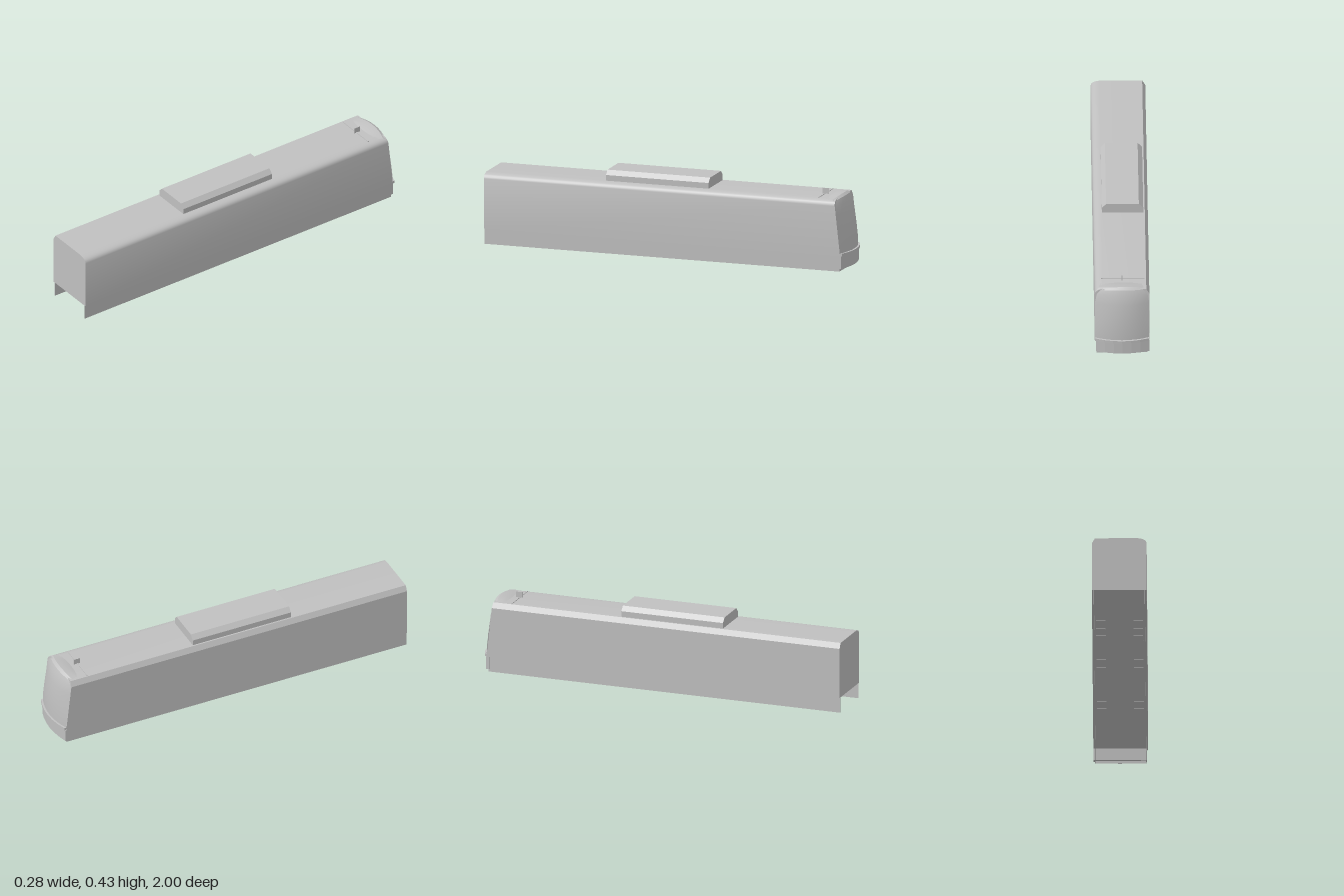
import * as THREE from 'three';
import { toCreasedNormals } from 'three/addons/utils/BufferGeometryUtils.js';

const grey = new THREE.MeshStandardMaterial({ color: 0xc0c0c0, side: THREE.DoubleSide });
grey.name = 'light grey';

export function createModel() {
  const model = new THREE.Group();
  model.name = 'railCar';

  function add(name, geometry, x = 0, y = 0, z = 0) {
    const mesh = new THREE.Mesh(geometry, grey);
    mesh.name = name;
    mesh.position.set(x, y, z);
    model.add(mesh);
    return mesh;
  }
  const box = (name, w, h, d, x, y, z) => add(name, new THREE.BoxGeometry(w, h, d), x, y, z);
  const outline = (pts) => new THREE.Shape(pts.map(([x, y]) => new THREE.Vector2(x, y)));
  const extrude = (shape, depth) =>
    new THREE.ExtrudeGeometry(shape, { depth, bevelEnabled: false, curveSegments: 6 });

  // Body: flat chamfer on the right roof edge, rounded edge on the other, raked cab end
  const section = outline([[-0.142, 0.082], [0.142, 0.082], [0.142, 0.348]]);
  section.bezierCurveTo(0.14, 0.368, 0.122, 0.376, 0.098, 0.378);
  section.lineTo(-0.126, 0.378);
  section.lineTo(-0.142, 0.35);
  const body = extrude(section, 2);
  const p = body.attributes.position;
  for (let i = 0; i < p.count; i++) {
    p.setZ(i, p.getZ(i) > 1 ? 1 : -0.962 + (p.getY(i) - 0.082) * 0.11);
  }
  body.computeVertexNormals();
  add('body', toCreasedNormals(body, 0.5));

  // Skirts: thin sheets hanging below the floor, with a cross sheet at the cab
  for (const s of [-1, 1]) {
    box(s > 0 ? 'leftSkirt' : 'rightSkirt', 0.002, 0.082, 1.955, s * 0.132, 0.041, 0.0225);
  }
  box('skirtEnd', 0.264, 0.082, 0.002, 0, 0.041, -0.954);

  // Cab shell: bowed cross rows from the sill over the crown to the roof
  // Each row: y, centre z, bow, half width, side drop
  const rows = [
    [0.085, -0.99, 0.028, 0.14, 0],
    [0.13, -0.989, 0.029, 0.141, 0],
    [0.2, -0.984, 0.032, 0.141, 0],
    [0.3, -0.971, 0.033, 0.141, 0],
    [0.355, -0.957, 0.027, 0.138, 0.005],
    [0.38, -0.946, 0.022, 0.13, 0.01],
    [0.39, -0.93, 0.018, 0.122, 0.014],
    [0.387, -0.9, 0.01, 0.116, 0.011],
    [0.377, -0.865, -0.01, 0.112, 0],
  ];
  const segments = 8;
  const verts = [];
  const faces = [];
  rows.forEach(([y, z, bow, half, drop], r) => {
    for (let c = 0; c <= segments; c++) {
      const u = (c / segments) * 2 - 1;
      verts.push(half * u, y - drop * u * u, z + bow * u * u);
      if (r && c) {
        const b = r * (segments + 1) + c;
        const a = b - segments - 1;
        faces.push(a - 1, b - 1, a, a, b - 1, b);
      }
    }
  });
  const shell = new THREE.BufferGeometry();
  shell.setAttribute('position', new THREE.Float32BufferAttribute(verts, 3));
  shell.setIndex(faces);
  shell.computeVertexNormals();
  add('cabShell', toCreasedNormals(shell, 0.35));

  // Bowed horizontal slabs: sill lip and lower apron of the cab
  function bowedSlab(name, half, centreZ, sideZ, backZ, y0, y1, x = 0) {
    const pts = [[half, backZ]];
    for (let c = 0; c <= 6; c++) {
      const u = 1 - c / 3;
      pts.push([half * u, centreZ + (sideZ - centreZ) * u * u]);
    }
    pts.push([-half, backZ]);
    const g = extrude(outline(pts), y1 - y0);
    g.rotateX(Math.PI / 2);
    add(name, g, x, y1, 0);
  }
  bowedSlab('cabLip', 0.14, -1, -0.972, -0.95, 0.084, 0.098);
  bowedSlab('cabApron', 0.139, -0.99, -0.966, -0.945, 0.015, 0.082, -0.003);

  // Roof equipment: chamfered housing, rib and upright fin
  const housing = extrude(outline([
    [-0.118, 0.376], [0.097, 0.376], [0.097, 0.408],
    [0.075, 0.432], [-0.095, 0.432], [-0.118, 0.408],
  ]), 0.565);
  add('roofHousing', housing, 0, 0, -0.222);
  box('roofRib', 0.225, 0.004, 0.005, -0.005, 0.379, -0.83);
  box('roofFin', 0.004, 0.032, 0.035, 0, 0.392, -0.833);

  // Underfloor plates: three groups of three on each side
  for (const s of [-1, 1]) {
    for (const z of [0.49, 0.01, -0.5]) {
      for (const k of [-1, 0, 1]) {
        box('underfloorPlate', 0.05, 0.004, 0.09, s * 0.097, 0.081, z + k * 0.094);
      }
    }
  }
  return model;
}
